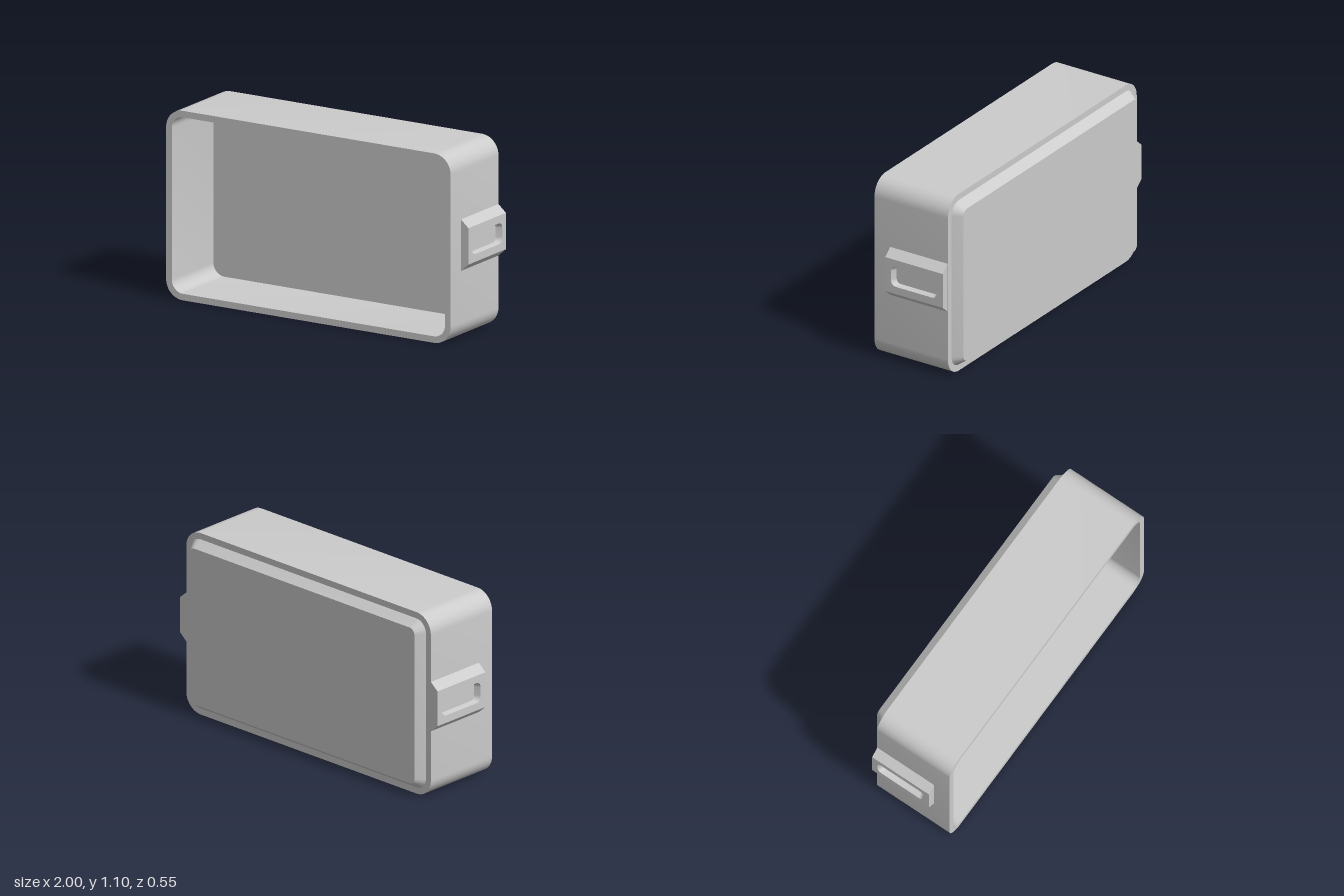
import * as THREE from 'three';
import { toCreasedNormals } from 'three/addons/utils/BufferGeometryUtils.js';

const STEPS = 10; // segments per rounded corner

// Counter-clockwise rounded rectangle at depth z: half width w, half height h, corner radius r
function ring([w, h, r, z]) {
  const points = [];
  for (let q = 0; q < 4; q++) {
    const sx = q === 0 || q === 3 ? 1 : -1;
    const sy = q < 2 ? 1 : -1;
    for (let i = 0; i <= STEPS; i++) {
      const a = (q + i / STEPS) * Math.PI / 2;
      points.push([sx * (w - r) + r * Math.cos(a), sy * (h - r) + r * Math.sin(a), z]);
    }
  }
  return points;
}

// Skin a series of rings, with optional flat caps at the first and last ring
function loft(sections, capStart, capEnd) {
  const rings = sections.map(ring);
  const n = rings[0].length;
  const pos = [];
  const tri = (...corners) => corners.forEach((c) => pos.push(...c));
  for (let j = 0; j < n; j++) {
    const k = (j + 1) % n;
    for (let s = 0; s < rings.length - 1; s++) {
      const a = rings[s], b = rings[s + 1];
      tri(a[j], a[k], b[k]);
      tri(a[j], b[k], b[j]);
    }
    const first = rings[0], last = rings[rings.length - 1];
    if (capStart) tri([0, 0, first[0][2]], first[k], first[j]);
    if (capEnd) tri([0, 0, last[0][2]], last[j], last[k]);
  }
  const geometry = new THREE.BufferGeometry();
  geometry.setAttribute('position', new THREE.Float32BufferAttribute(pos, 3));
  return toCreasedNormals(geometry, Math.PI / 7);
}

export function createModel() {
  const group = new THREE.Group();
  const material = new THREE.MeshStandardMaterial({ color: 0xcccccc });

  // Open tray: bevelled plinth on the back, outer wall, front rim, cavity and its floor
  const tray = new THREE.Mesh(loft([
    [0.873, 0.474, 0.035, -0.276],
    [0.912, 0.514, 0.073, -0.222],
    [0.95, 0.552, 0.11, -0.222],
    [0.95, 0.552, 0.11, 0.276],
    [0.912, 0.514, 0.073, 0.276],
    [0.912, 0.514, 0.073, -0.157],
  ], true, true), material);
  tray.name = 'tray';
  tray.position.y = 0.552;
  group.add(tray);

  // Side grips: sloped top and bottom, with a tapered finger pocket in the outer face
  const gripGeometry = loft([
    [0.195, 0.15, 0, 0],
    [0.195, 0.106, 0, 0.05],
    [0.157, 0.061, 0.035, 0.05],
    [0.141, 0.054, 0.028, 0.015],
  ], false, true);
  for (const side of [1, -1]) {
    const grip = new THREE.Mesh(gripGeometry, material);
    grip.name = side > 0 ? 'leftGrip' : 'rightGrip';
    grip.rotation.y = side * Math.PI / 2;
    grip.position.set(side * 0.95, 0.561, -0.026);
    group.add(grip);
  }
  return group;
}
